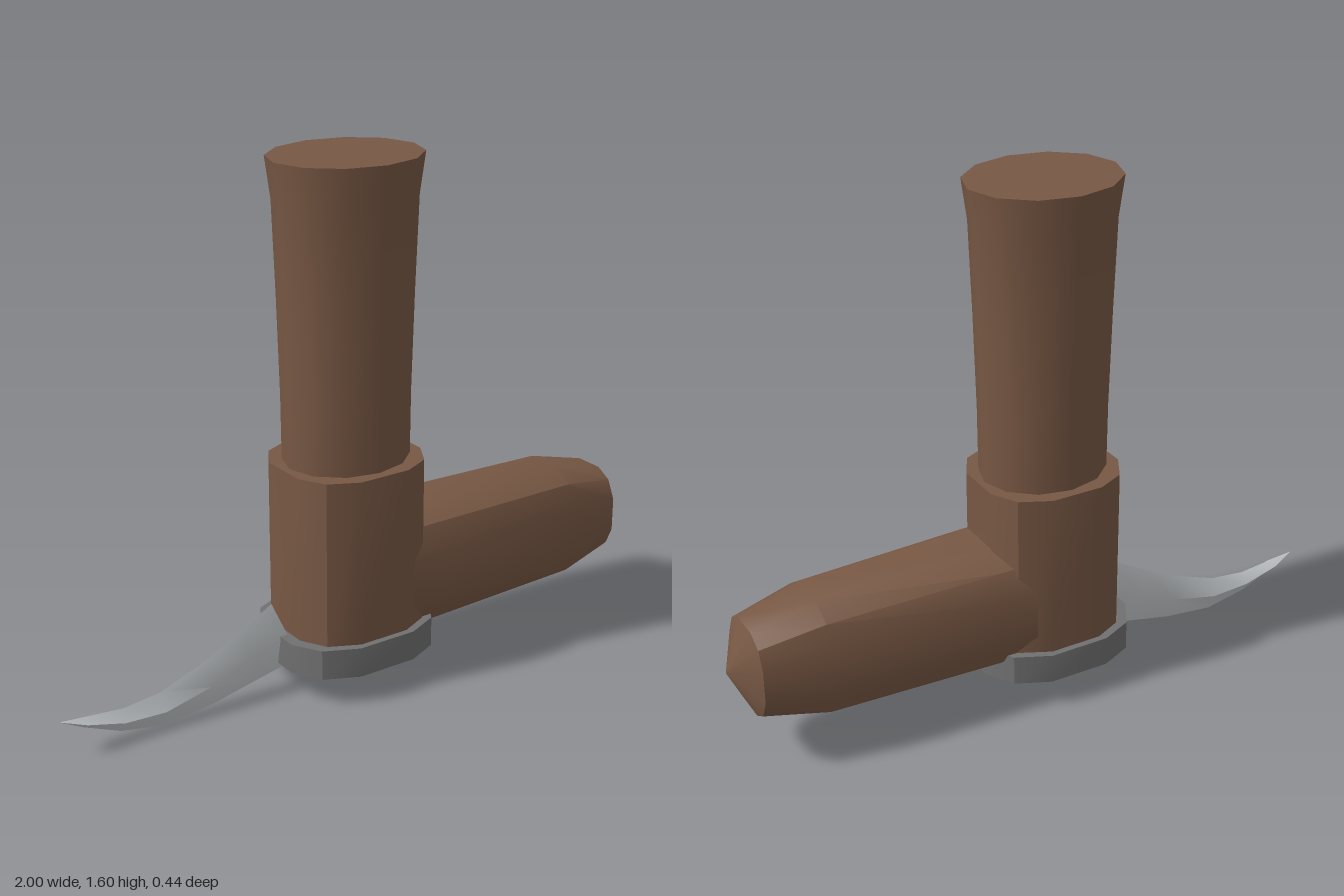
import * as THREE from 'three';
import { toCreasedNormals } from 'three/addons/utils/BufferGeometryUtils.js';

const wood = new THREE.MeshStandardMaterial({ color: 0x785844 });
const darkMetal = new THREE.MeshStandardMaterial({ color: 0x707070 });
const steel = new THREE.MeshStandardMaterial({ color: 0xc4c8cb });

// Unit cross-sections, counter-clockwise
const round = Array.from({ length: 12 }, (_, i) => {
  const a = (i / 12) * Math.PI * 2;
  return [Math.cos(a), Math.sin(a)];
});
const corner = [[1, 0.38], [0.8, 0.78], [0.38, 1]];
const chamfered = [];
for (let q = 0; q < 4; q++) {
  for (const [x, y] of corner) {
    chamfered.push([[x, y], [-y, x], [-x, -y], [y, -x]][q]);
  }
}

// Skin a list of rings; the far end closes on a tip point or the ring's centre
function loft(rings, crease, tip) {
  const n = rings[0].length;
  const tris = [];
  const centre = (ring) => ring.reduce((s, p) => s.add(p), new THREE.Vector3()).divideScalar(n);
  const first = rings[0], last = rings[rings.length - 1];
  const startPoint = centre(first), endPoint = tip || centre(last);
  for (let i = 0; i < n; i++) {
    const j = (i + 1) % n;
    for (let k = 0; k + 1 < rings.length; k++) {
      const a = rings[k], b = rings[k + 1];
      tris.push(a[i], a[j], b[j], a[i], b[j], b[i]);
    }
    tris.push(startPoint, first[j], first[i], endPoint, last[i], last[j]);
  }
  const geometry = new THREE.BufferGeometry().setFromPoints(tris);
  return toCreasedNormals(geometry, crease);
}

// Upright ring about the handle axis
const upright = (section, cx, y, rx, rz) =>
  section.map(([u, v]) => new THREE.Vector3(cx + u * rx, y, -v * rz));

export function createModel() {
  const model = new THREE.Group();
  const add = (name, geometry, material) => {
    const mesh = new THREE.Mesh(geometry, material);
    mesh.name = name;
    model.add(mesh);
  };

  // Flared grip: height, half width, half depth
  const gripProfile = [
    [0.6, 0.196, 0.17], [0.9, 0.199, 0.172], [1.2, 0.208, 0.178],
    [1.48, 0.219, 0.186], [1.603, 0.236, 0.202],
  ];
  add('grip', loft(gripProfile.map(([y, rx, rz]) => upright(round, -0.032, y, rx, rz)), 0.64), wood);

  // Collar around the lower grip
  add('collar', loft([0.15, 0.7].map((y) => upright(chamfered, -0.033, y, 0.217, 0.2)), 0.6), wood);

  // Metal foot plate
  add('basePlate', loft([0.092, 0.185].map((y) => upright(chamfered, -0.035, y, 0.25, 0.22)), 0.6), darkMetal);

  // Side arm with bevelled, pointed end: x, half height, half depth
  const armProfile = [[0, 0.2, 0.184], [0.2, 0.198, 0.178], [0.74, 0.188, 0.158], [0.935, 0.14, 0.124]];
  const armRings = armProfile.map(([x, ry, rz]) =>
    chamfered.map(([u, v]) => new THREE.Vector3(x, 0.316 + u * ry, v * rz)));
  add('sideArm', loft(armRings, 0.6, new THREE.Vector3(1, 0.316, 0)), wood);

  // Curved blade, diamond in section: top x, y, bottom x, y, half thickness
  const bladeStations = [
    [-0.3, 0.288, -0.22, 0.08, 0.024],
    [-0.4, 0.234, -0.37, 0.05, 0.024],
    [-0.54, 0.164, -0.51, 0.02, 0.024],
    [-0.68, 0.113, -0.67, 0.003, 0.024],
    [-0.8, 0.1, -0.81, 0.03, 0.024],
    [-0.92, 0.112, -0.925, 0.08, 0.022],
  ];
  const bladeRings = bladeStations.map(([tx, ty, bx, by, t]) => {
    const mx = (tx + bx) / 2, my = (ty + by) / 2;
    return [[mx, my, t], [tx, ty, 0], [mx, my, -t], [bx, by, 0]]
      .map((p) => new THREE.Vector3(...p));
  });
  add('blade', loft(bladeRings, 0.7, new THREE.Vector3(-1, 0.12, 0)), steel);

  return model;
}
